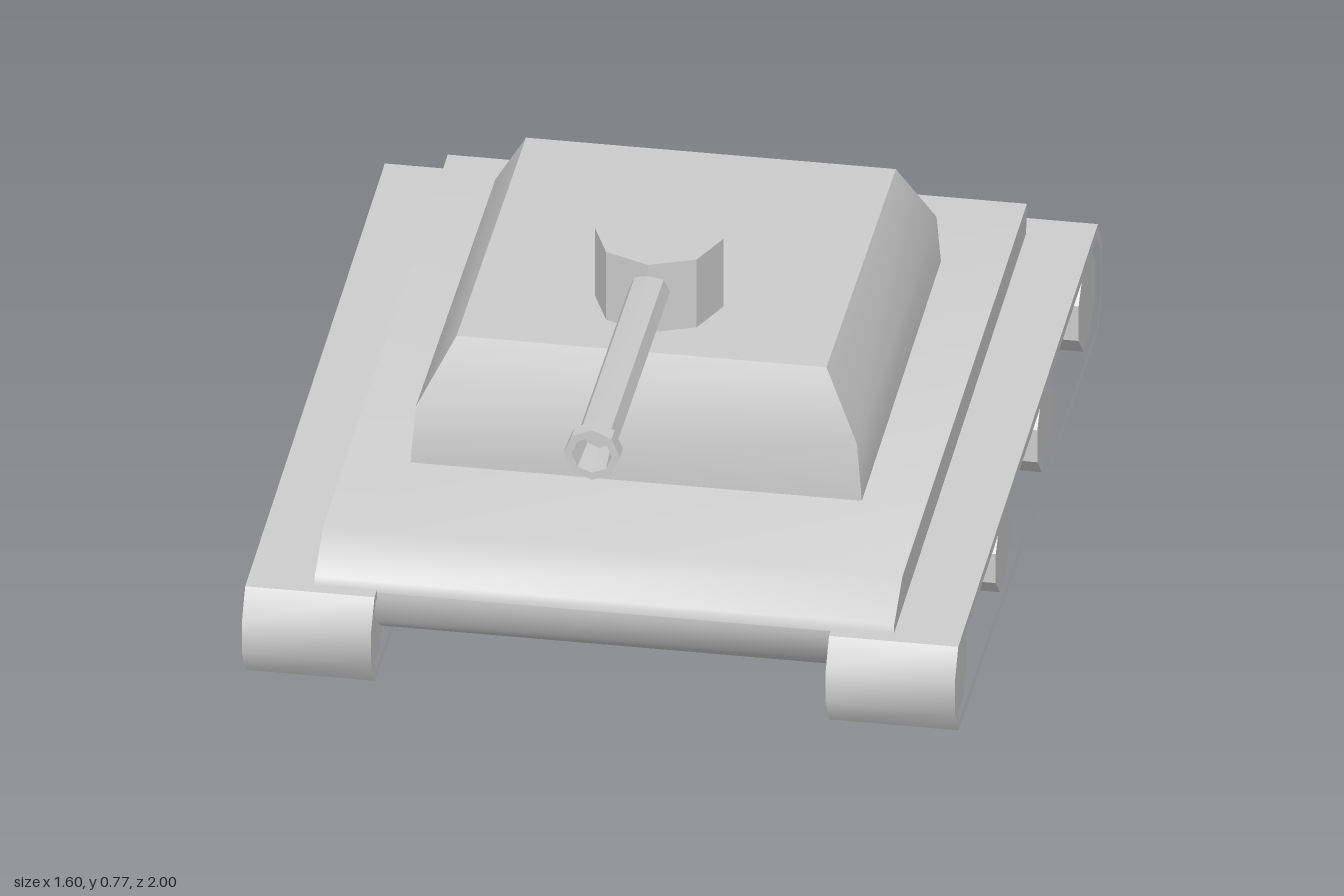
import * as THREE from 'three';
import { toCreasedNormals } from 'three/addons/utils/BufferGeometryUtils.js';

const smooth = new THREE.MeshStandardMaterial({ color: 0xcccccc });
const faceted = new THREE.MeshStandardMaterial({ color: 0xcccccc, flatShading: true });

function add(parent, name, geometry, material = smooth) {
  const mesh = new THREE.Mesh(geometry, material);
  mesh.name = name;
  parent.add(mesh);
  return mesh;
}

// Extrude a side profile of [z, y] points across x0..x1, with an optional hole
function sideProfile(points, x0, x1, hole) {
  const toVectors = (list) => list.map(([z, y]) => new THREE.Vector2(-z, y));
  const shape = new THREE.Shape(toVectors(points));
  if (hole) shape.holes.push(new THREE.Path(toVectors(hole)));
  const geometry = new THREE.ExtrudeGeometry(shape, { depth: x1 - x0, bevelEnabled: false });
  geometry.rotateY(Math.PI / 2).translate(x0, 0, 0);
  return toCreasedNormals(geometry, 0.95);
}

const TRACK_OUTER = [
  [0.865, 0], [0.913, 0.07], [0.913, 0.15], [0.87, 0.215],
  [-0.945, 0.277], [-1, 0.2], [-1, 0.075], [-0.945, 0],
];
const TRACK_INNER = [
  [0.855, 0.022], [0.89, 0.077], [0.89, 0.143], [0.855, 0.193],
  [-0.932, 0.253], [-0.977, 0.193], [-0.977, 0.083], [-0.932, 0.022],
];
// Wheels: z, y, half height
const WHEELS = [
  [0.8, 0.108, 0.083], [0.25, 0.117, 0.089], [-0.3, 0.126, 0.098], [-0.845, 0.138, 0.106],
];

function createTrack(name, side) {
  const track = new THREE.Group();
  track.name = name;
  const span = (a, b) => (side > 0 ? [a, b] : [-b, -a]);
  add(track, 'trackBelt', sideProfile(TRACK_OUTER, ...span(0.51, 0.8), TRACK_INNER));
  add(track, 'trackWall', sideProfile(TRACK_INNER, ...span(0.58, 0.73)));
  for (const [z, y, half] of WHEELS) {
    const radius = half / Math.cos(Math.PI / 8);
    const wheel = new THREE.CylinderGeometry(radius, radius, 0.275, 8);
    wheel.rotateY(Math.PI / 8).rotateZ(Math.PI / 2);
    add(track, 'wheel', wheel, faceted).position.set(side * 0.655, y, z);
  }
  return track;
}

// Turret: a box whose three levels taper upward
function turretGeometry() {
  const levels = [
    { y: 0.3, x: 0.507, front: 0.422, back: -0.62 },
    { y: 0.45, x: 0.495, front: 0.42, back: -0.615 },
    { y: 0.6, x: 0.415, front: 0.353, back: -0.55 },
  ];
  const geometry = new THREE.BoxGeometry(2, 2, 2, 1, 2, 1);
  const p = geometry.attributes.position;
  for (let i = 0; i < p.count; i++) {
    const level = levels[Math.round(p.getY(i)) + 1];
    p.setXYZ(i, p.getX(i) * level.x, level.y, p.getZ(i) > 0 ? level.front : level.back);
  }
  return toCreasedNormals(geometry, 0.6);
}

export function createModel() {
  const tank = new THREE.Group();
  tank.name = 'tank';

  tank.add(createTrack('leftTrack', 1), createTrack('rightTrack', -1));

  // Lower hull with rounded nose and tail
  add(tank, 'lowerHull', sideProfile([
    [0.835, 0.235], [0.84, 0.2], [0.815, 0.125], [0.74, 0.07],
    [-0.7, 0.07], [-0.82, 0.12], [-0.875, 0.2], [-0.88, 0.29],
  ], -0.58, 0.58));

  // Deck plate rising toward the back, with a sloped front
  add(tank, 'deck', sideProfile([
    [0.84, 0.21], [0.835, 0.235], [0.725, 0.3],
    [-0.893, 0.343], [-0.88, 0.27],
  ], -0.65, 0.65));

  add(tank, 'turret', turretGeometry());

  // Eight-sided gun mount on the turret
  add(tank, 'gunMount', new THREE.CylinderGeometry(0.144, 0.144, 0.18, 8), faceted)
    .position.set(0, 0.682, 0.123);

  // Barrel and muzzle ring with an open bore
  const gun = new THREE.LatheGeometry([
    [0, 0.15], [0.046, 0.15], [0.046, 0.96], [0.063, 0.96],
    [0.063, 1], [0.045, 1], [0.038, 0.9], [0, 0.9],
  ].map(([r, z]) => new THREE.Vector2(r, z)), 8);
  gun.rotateX(Math.PI / 2);
  add(tank, 'gunBarrel', gun, faceted).position.y = 0.698;

  return tank;
}
